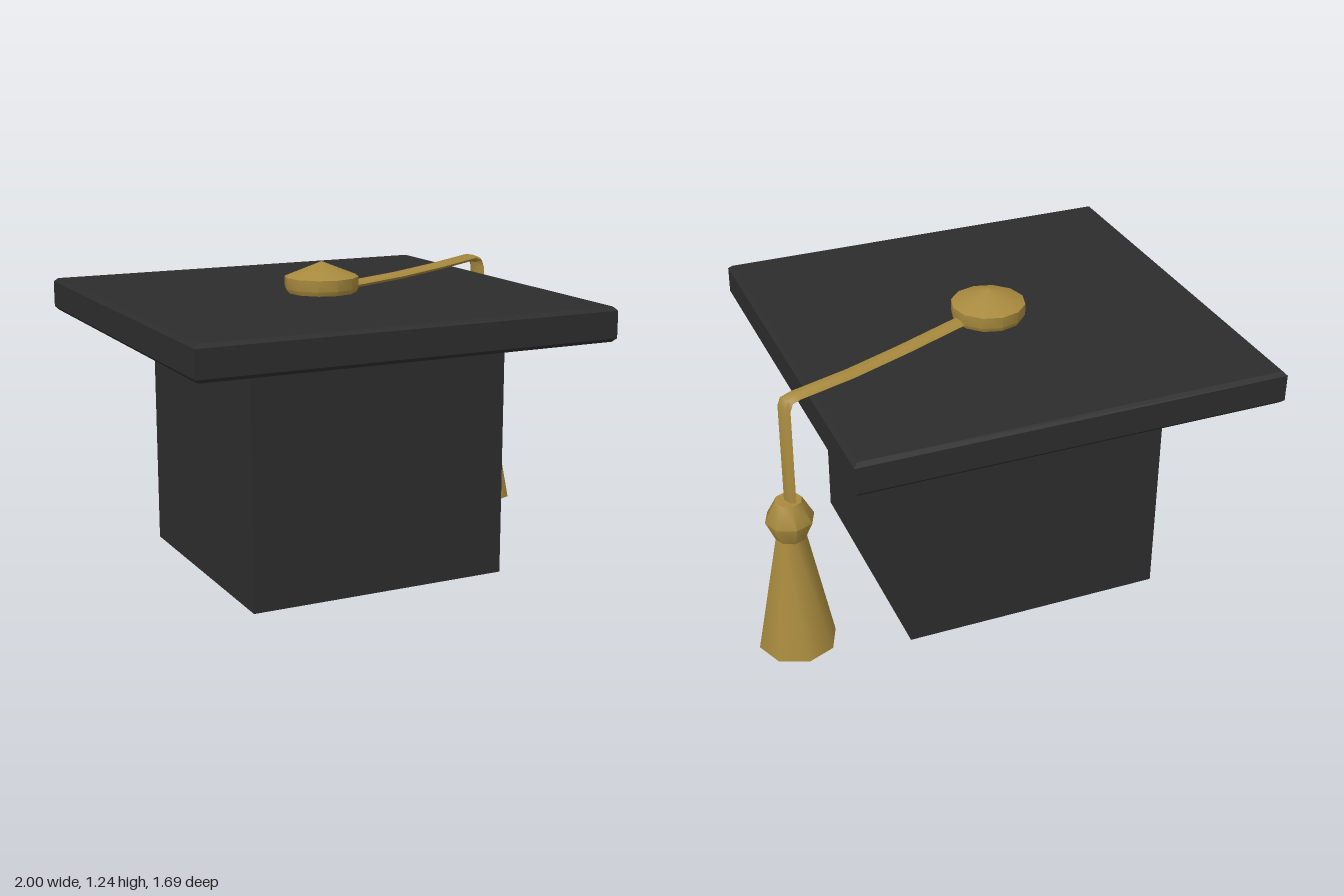
import * as THREE from 'three';
import { toCreasedNormals } from 'three/addons/utils/BufferGeometryUtils.js';

const V3 = (x, y, z) => new THREE.Vector3(x, y, z);

// Surface of revolution from [radius, y] pairs, listed bottom to top
function lathe(profile, sides, crease) {
  const points = profile.map(([r, y]) => new THREE.Vector2(r, y));
  return toCreasedNormals(new THREE.LatheGeometry(points, sides), crease);
}

// Flattened cord: an elliptical hexagon swept along a path, kept level along `side`
function sweep(path, side, halfWidth, halfThick) {
  const n = 6, pos = [], index = [];
  path.forEach((c, i) => {
    const before = path[Math.max(i - 1, 0)], after = path[Math.min(i + 1, path.length - 1)];
    const tangent = after.clone().sub(before).normalize();
    const up = side.clone().cross(tangent).normalize();
    for (let j = 0; j < n; j++) {
      const a = (j + 0.5) / n * Math.PI * 2;
      const p = c.clone().addScaledVector(up, Math.cos(a) * halfThick).addScaledVector(side, Math.sin(a) * halfWidth);
      pos.push(p.x, p.y, p.z);
    }
  });
  for (let i = 0; i < path.length - 1; i++) {
    for (let j = 0; j < n; j++) {
      const a = i * n + j, b = i * n + (j + 1) % n;
      index.push(a, b, a + n, b, b + n, a + n);
    }
  }
  // end caps
  const last = (path.length - 1) * n;
  for (let j = 1; j < n - 1; j++) index.push(0, j + 1, j, last, last + j, last + j + 1);
  const g = new THREE.BufferGeometry();
  g.setAttribute('position', new THREE.Float32BufferAttribute(pos, 3));
  g.setIndex(index);
  return toCreasedNormals(g, 0.9);
}

export function createModel() {
  const group = new THREE.Group();
  const black = new THREE.MeshStandardMaterial({ color: 0x2d2d2d });
  black.name = 'black cloth';
  const gold = new THREE.MeshStandardMaterial({ color: 0xa88a3e, side: THREE.DoubleSide });
  gold.name = 'gold thread';

  const add = (name, geometry, material, x = 0, y = 0, z = 0) => {
    const mesh = new THREE.Mesh(geometry, material);
    mesh.name = name;
    mesh.position.set(x, y, z);
    group.add(mesh);
  };

  // Block-shaped crown
  add('crown', new THREE.BoxGeometry(1.08, 0.99, 1.05), black, -0.13, 0.495, 0.01);

  // Square board with a small chamfer on its top and bottom edges
  const b = 0.015, hx = 0.86 - b, hz = 0.845 - b;
  const square = new THREE.Shape([[-hx, -hz], [hx, -hz], [hx, hz], [-hx, hz]].map(p => new THREE.Vector2(...p)));
  const board = new THREE.ExtrudeGeometry(square, {
    depth: 0.137 - 2 * b, bevelEnabled: true, bevelSize: b, bevelThickness: b, bevelSegments: 1,
  });
  board.rotateX(-Math.PI / 2);
  add('board', board, black, -0.14, 0.975 + b, 0);

  // Button with a shallow pointed top
  add('button', lathe([[0, 0], [0.14, 0], [0.15, 0.02], [0.15, 0.065], [0, 0.125]], 12, 0.55), gold, -0.13, 1.11, 0);

  // Cord running across the board, over its edge and down
  const path = [
    V3(-0.03, 1.125, -0.015), V3(0.3, 1.126, -0.165), V3(0.55, 1.134, -0.28), V3(0.79, 1.149, -0.382),
    V3(0.822, 1.137, -0.384), V3(0.833, 1.105, -0.383), V3(0.833, 0.69, -0.38),
  ];
  add('cord', sweep(path, V3(0.42, 0, 0.907), 0.036, 0.016), gold);

  // Tassel: knot on top, hollow flared skirt below
  add('tasselKnot', lathe([[0.06, 0.535], [0.097, 0.62], [0.053, 0.703], [0, 0.703]], 8, 0.85), gold, 0.838, 0, -0.375);
  add('tasselSkirt', lathe([[0.157, 0.035], [0.06, 0.54]], 8, 0.85), gold, 0.838, 0, -0.375);

  return group;
}
